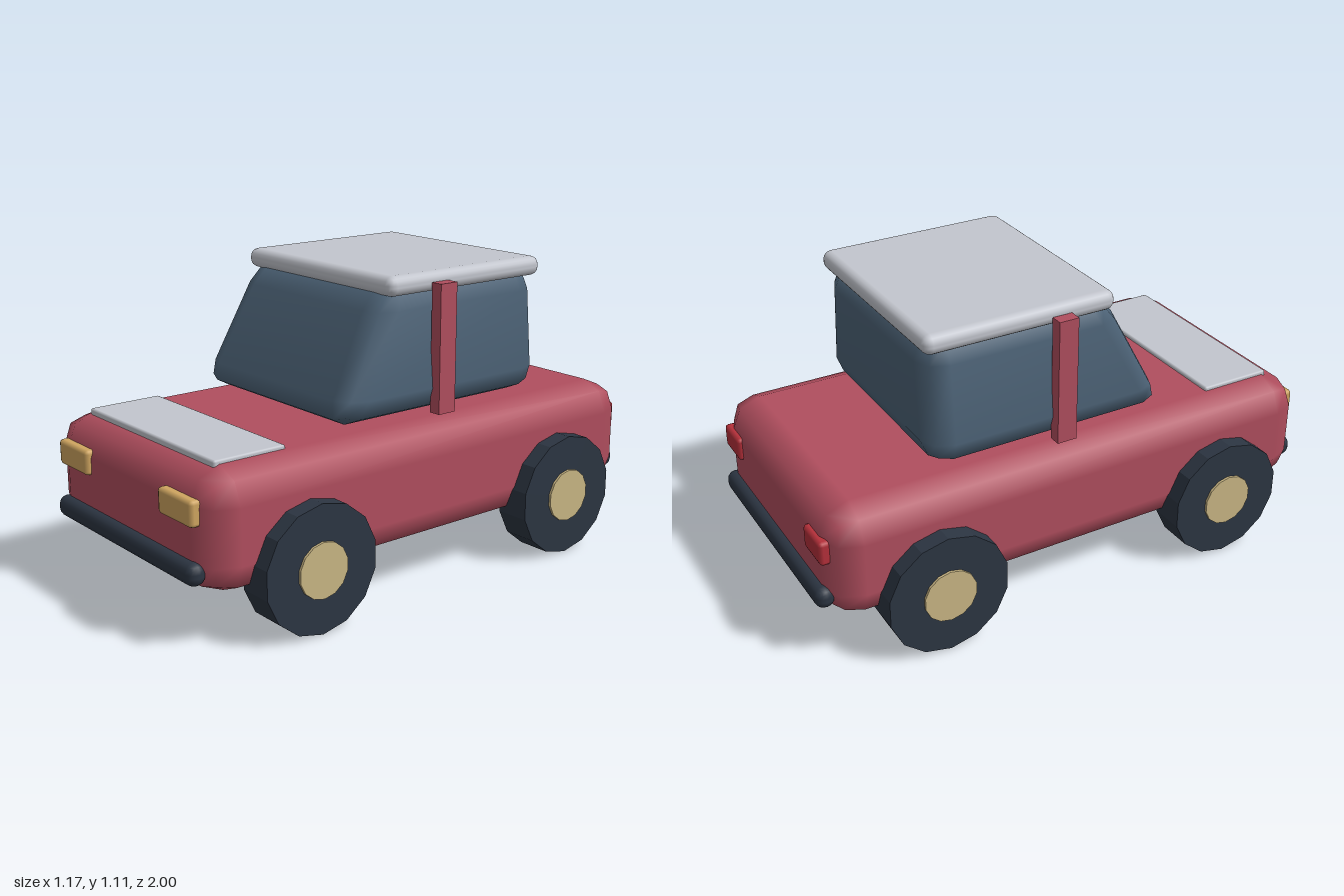
import * as THREE from 'three';
import { mergeVertices } from 'three/addons/utils/BufferGeometryUtils.js';
import { RoundedBoxGeometry } from 'three/addons/geometries/RoundedBoxGeometry.js';

function makeMaterial(name, color, flatShading = false) {
  const m = new THREE.MeshStandardMaterial({ color, flatShading });
  m.name = name;
  return m;
}

export function createModel() {
  const car = new THREE.Group();
  car.name = 'car';

  const red = makeMaterial('bodyRed', 0xb04e5e);
  const glass = makeMaterial('windowBlue', 0x4c6276);
  const silver = makeMaterial('roofSilver', 0xc3c6ce);
  const dark = makeMaterial('tyreDark', 0x2c3542, true);
  const bumperDark = makeMaterial('bumperDark', 0x2c3542);
  const hubTan = makeMaterial('hubTan', 0xc9b684, true);
  const amber = makeMaterial('headlightAmber', 0xcfa560);
  const tailRed = makeMaterial('tailLightRed', 0xb5303a);

  function add(name, geometry, material) {
    const mesh = new THREE.Mesh(geometry, material);
    mesh.name = name;
    car.add(mesh);
    return mesh;
  }

  // Box given by its extents; radius 0 keeps sharp edges
  function box(name, [x0, x1], [y0, y1], [z0, z1], radius, material, segments = 1) {
    const size = [x1 - x0, y1 - y0, z1 - z0];
    const geometry = radius
      ? new RoundedBoxGeometry(...size, segments, radius)
      : new THREE.BoxGeometry(...size);
    geometry.translate((x0 + x1) / 2, (y0 + y1) / 2, (z0 + z1) / 2);
    return add(name, geometry, material);
  }

  // Body and bonnet panel
  box('body', [-0.512, 0.512], [0.172, 0.597], [-0.965, 0.965], 0.115, red);
  box('bonnetPanel', [-0.395, 0.395], [0.58, 0.611], [0.59, 0.87], 0.008, silver);

  // Cabin: rounded box with leaning windscreen and tapering sides
  const y0 = 0.615;
  let cabin = new RoundedBoxGeometry(0.88, 0.465, 0.96, 1, 0.09);
  cabin.translate(0, y0 + 0.2325, -0.08);
  const p = cabin.attributes.position;
  for (let i = 0; i < p.count; i++) {
    const rise = p.getY(i) - y0;
    p.setX(i, p.getX(i) - Math.sign(p.getX(i)) * rise * 0.09);
    if (p.getZ(i) > 0) p.setZ(i, p.getZ(i) - rise * 0.52);
  }
  cabin.deleteAttribute('normal');
  cabin.deleteAttribute('uv');
  cabin = mergeVertices(cabin, 1e-4);
  cabin.clearGroups();
  cabin.computeVertexNormals();
  add('cabin', cabin, glass);

  box('roof', [-0.416, 0.416], [1.04, 1.112], [-0.565, 0.162], 0.032, silver, 2);

  // Bumpers
  box('frontBumper', [-0.443, 0.443], [0.222, 0.301], [0.93, 1], 0.033, bumperDark, 2);
  box('rearBumper', [-0.443, 0.443], [0.222, 0.301], [-1, -0.93], 0.033, bumperDark, 2);

  for (const side of [1, -1]) {
    const label = side > 0 ? 'left' : 'right';
    const span = (a, b) => (side > 0 ? [a, b] : [-b, -a]);

    // Door pillar and lamps
    box(label + 'Pillar', span(0.42, 0.466), [0.615, 1.077], [-0.096, -0.021], 0, red);
    box(label + 'Headlight', span(0.231, 0.431), [0.419, 0.51], [0.94, 0.984], 0.014, amber);
    box(label + 'TailLight', span(0.303, 0.446), [0.403, 0.493], [-0.981, -0.937], 0.014, tailRed);

    // Wheels: faceted tyre with a hub disc outside
    for (const end of [1, -1]) {
      const wheelName = label + (end > 0 ? 'Front' : 'Rear');
      const disc = (name, radius, a, b, material) => {
        const g = new THREE.CylinderGeometry(radius, radius, b - a, 14, 1, false, Math.PI / 2);
        g.rotateZ(Math.PI / 2);
        add(name, g, material).position.set(side * (a + b) / 2, 0.2275, end * 0.58);
      };
      disc(wheelName + 'Tyre', 0.2275, 0.445, 0.575, dark);
      disc(wheelName + 'Hub', 0.099, 0.55, 0.584, hubTan);
    }
  }
  return car;
}
